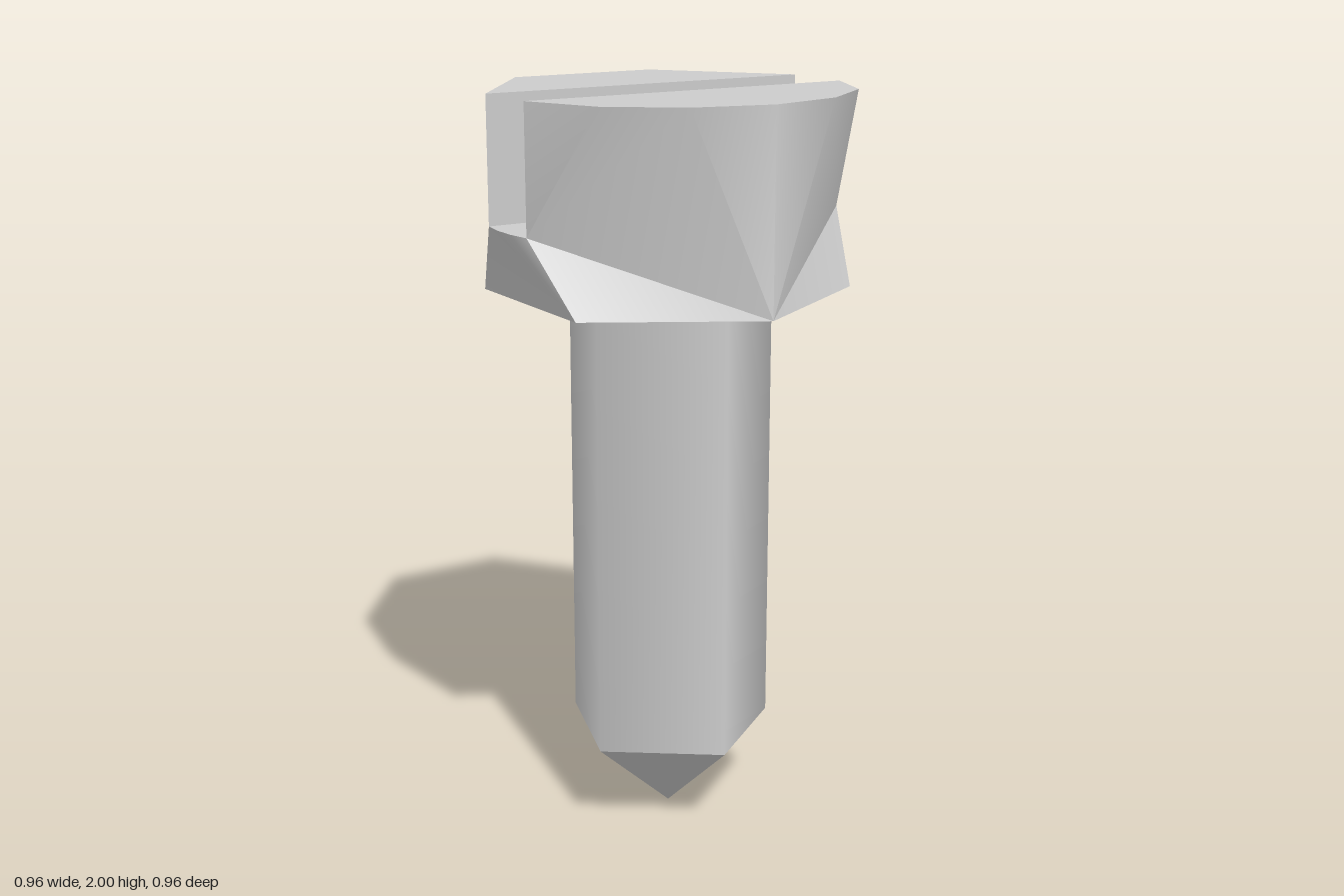
import * as THREE from 'three';
import { toCreasedNormals } from 'three/addons/utils/BufferGeometryUtils.js';

const BASE = 1.48, FLOOR = 1.67, TOP = 2, CONE = 0.25, R = 0.285, SLOT = 0.1;

// Slotted head: six-sided base blending into a rounder top, half built and mirrored in x
function headGeometry() {
  const P = {
    // base rim
    p: [0, BASE, 0.48], q: [0.415, BASE, 0.24], q2: [0.415, BASE, -0.24], p2: [0, BASE, -0.48],
    // top rim, front and back of the slot
    t: [0, TOP, 0.48], a: [0.21, TOP, 0.43], b: [0.38, TOP, 0.3], c: [0.47, TOP, SLOT], c0: [0, TOP, SLOT],
    d0: [0, TOP, -SLOT], d: [0.47, TOP, -SLOT], e: [0.21, TOP, -0.435], g: [0, TOP, -0.435],
    // slot floor
    f0: [0, FLOOR, SLOT], cf: [0.47, FLOOR, SLOT], m: [0.48, FLOOR, 0.035],
    m2: [0.48, FLOOR, -0.035], df: [0.47, FLOOR, -SLOT], f1: [0, FLOOR, -SLOT],
  };
  const faces = [
    'p a t', 'p cf a', 'cf b a', 'cf c b', 'p q cf',          // front side
    'q q2 df m2 m cf',                                        // below the slot end
    'q2 p2 df', 'p2 e df', 'df e d', 'p2 g e',                // back side
    'p p2 q2 q', 't a b c c0', 'd0 d e g',                    // underside and tops
    'f0 cf m m2 df f1', 'f0 c0 c cf', 'f1 df d d0',           // slot
  ];
  const pos = [];
  for (const face of faces) {
    const v = face.split(' ').map((k) => P[k]);
    for (let i = 1; i < v.length - 1; i++) {
      const tri = [v[0], v[i], v[i + 1]];
      pos.push(...tri.flat());
      pos.push(...tri.reverse().map(([x, y, z]) => [-x, y, z]).flat());
    }
  }
  const geo = new THREE.BufferGeometry();
  geo.setAttribute('position', new THREE.Float32BufferAttribute(pos, 3));
  return toCreasedNormals(geo, 0.6);
}

export function createModel() {
  const group = new THREE.Group();
  const material = new THREE.MeshStandardMaterial({ color: 0xcccccc });
  const add = (name, geometry, y = 0) => {
    const mesh = new THREE.Mesh(geometry, material);
    mesh.name = name;
    mesh.position.y = y;
    group.add(mesh);
  };

  add('slottedHead', headGeometry());
  // Five-sided shank with a corner facing forward
  add('shank', new THREE.CylinderGeometry(R, R, BASE - CONE, 5, 1, true), (BASE + CONE) / 2);
  // Pointed tip
  add('tip', new THREE.CylinderGeometry(R, 0, CONE, 5, 1, true), CONE / 2);
  return group;
}
